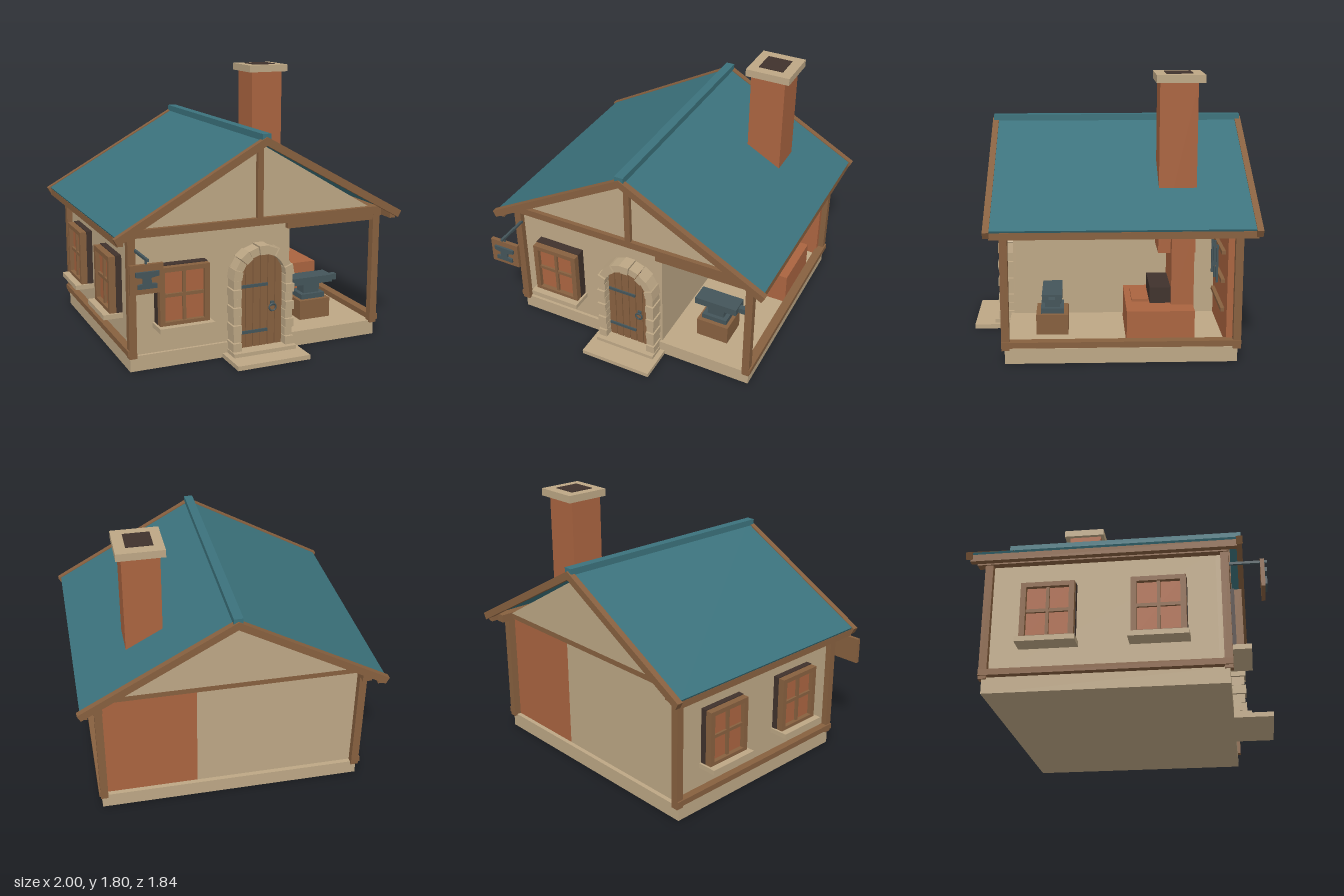
import * as THREE from 'three';

const material = (name, color) => {
  const m = new THREE.MeshStandardMaterial({ color });
  m.name = name;
  return m;
};

export function createModel() {
  const stone = material('plasterAndStone', 0xbda785);
  const wood = material('timber', 0x87603f);
  const brick = material('brick', 0xaa6440);
  const teal = material('roofTeal', 0x3b727c);
  const steel = material('steel', 0x44555a);
  const dark = material('soot', 0x40322c);
  const house = new THREE.Group();
  house.name = 'smithy';

  const add = (name, mat, geometry, parent = house) => {
    const mesh = new THREE.Mesh(geometry, mat);
    mesh.name = name;
    parent.add(mesh);
    return mesh;
  };
  // Box given by its extents on each axis
  const box = (name, mat, x0, x1, y0, y1, z0, z1, parent) => {
    const g = new THREE.BoxGeometry(x1 - x0, y1 - y0, z1 - z0);
    g.translate((x0 + x1) / 2, (y0 + y1) / 2, (z0 + z1) / 2);
    return add(name, mat, g, parent);
  };
  // Outline in x and y, extruded from z0 to z1
  const slab = (name, mat, points, z0, z1, parent) => {
    const shape = new THREE.Shape(points.map(([x, y]) => new THREE.Vector2(x, y)));
    const g = new THREE.ExtrudeGeometry(shape, { depth: z1 - z0, bevelEnabled: false });
    g.translate(0, 0, z0);
    return add(name, mat, g, parent);
  };

  // Foundation and steps
  box('foundation', stone, -0.88, 0.88, 0, 0.1, -0.8, 0.67);
  box('lowerStep', stone, -0.255, 0.255, 0, 0.03, 0.67, 0.92);
  box('upperStep', stone, -0.22, 0.22, 0.03, 0.055, 0.67, 0.785);

  // Walls
  box('frontWall', stone, -0.85, 0.23, 0.1, 0.87, 0.61, 0.65);
  box('leftWall', stone, -0.85, -0.81, 0.1, 0.87, -0.77, 0.61);
  box('partitionWall', stone, 0.19, 0.23, 0.1, 0.87, -0.73, 0.61);
  box('backWall', stone, -0.85, 0.23, 0.1, 0.87, -0.77, -0.73);
  box('forgeBackWall', brick, 0.23, 0.85, 0.1, 0.87, -0.77, -0.73);
  for (const [name, z] of [['frontGable', 0.62], ['backGable', -0.79]]) {
    slab(name, stone, [[-0.84, 0.895], [0.84, 0.895], [0, 1.39]], z, z + 0.04);
  }

  // Timber frame
  for (const s of [-1, 1]) {
    const [a, b] = s > 0 ? [0.84, 0.89] : [-0.89, -0.84];
    box('frontPost', wood, a, b, 0.09, 0.87, 0.64, 0.69);
    box('backPost', wood, a, b, 0.09, 0.87, -0.82, -0.77);
    const [c, d] = s > 0 ? [0.84, 0.9] : [-0.9, -0.84];
    box('sillBeam', wood, c, d, 0.11, 0.148, -0.82, 0.69);
    box('wallPlate', wood, c, d, 0.845, 0.9, -0.87, 0.69);
  }
  box('frontBeam', wood, -0.89, 0.89, 0.86, 0.91, 0.63, 0.69);
  box('openingBeam', wood, 0.2, 0.89, 0.82, 0.87, 0.63, 0.685);
  box('backBeam', wood, -0.89, 0.89, 0.855, 0.9, -0.785, -0.73);
  box('kingPost', wood, -0.02, 0.02, 0.91, 1.4, 0.65, 0.69);

  // Roof: two slabs, barge boards, eaves and ridge
  for (const s of [-1, 1]) {
    const mirror = pts => pts.map(([x, y]) => [s * x, y]);
    slab('roofSlab', teal, mirror([[0, 1.435], [0.98, 0.893], [0.968, 0.87], [0, 1.405]]), -0.88, 0.74);
    const board = mirror([[0, 1.443], [1, 0.888], [0.977, 0.845], [0, 1.388]]);
    slab('frontBargeBoard', wood, board, 0.74, 0.78);
    slab('backBargeBoard', wood, board, -0.92, -0.88);
    const [a, b] = s > 0 ? [0.935, 0.975] : [-0.975, -0.935];
    box('eavesBoard', wood, a, b, 0.835, 0.88, -0.895, 0.745);
  }
  box('ridgeCap', teal, -0.03, 0.03, 1.42, 1.462, -0.91, 0.772);

  // Chimney
  box('chimneyStack', brick, 0.405, 0.645, 0.65, 1.75, -0.55, -0.31);
  box('chimneyCap', stone, 0.375, 0.68, 1.745, 1.795, -0.59, -0.285);
  box('flueOpening', dark, 0.44, 0.61, 1.794, 1.8, -0.52, -0.35);

  // Forge hearth
  box('hearth', brick, 0.31, 0.84, 0.1, 0.325, -0.53, -0.1);
  box('fireback', brick, 0.335, 0.715, 0.3, 0.83, -0.535, -0.39);
  box('coalBed', dark, 0.365, 0.68, 0.325, 0.43, -0.39, -0.255);
  box('hearthLip', brick, 0.4, 0.65, 0.325, 0.343, -0.25, -0.14);

  // Tool racks on the back wall
  for (const y of [0.3, 0.49, 0.68]) box('toolRack', wood, 0.305, 0.75, y - 0.012, y + 0.012, -0.73, -0.705);
  for (const x of [0.42, 0.53, 0.64]) {
    box('toolHandle', steel, x - 0.008, x + 0.008, 0.45, 0.7, -0.7, -0.686);
  }

  // Anvil on its block
  box('anvilBlock', wood, 0.41, 0.64, 0.1, 0.235, 0.27, 0.48);
  const anvil = new THREE.Group();
  anvil.name = 'anvil';
  house.add(anvil);
  box('anvilFoot', steel, 0.435, 0.615, 0.235, 0.27, 0.3, 0.45, anvil);
  box('anvilWaist', steel, 0.465, 0.585, 0.27, 0.335, 0.325, 0.425, anvil);
  box('anvilTop', steel, 0.375, 0.68, 0.335, 0.385, 0.31, 0.44, anvil);
  box('anvilHorn', steel, 0.68, 0.74, 0.33, 0.373, 0.355, 0.395, anvil);

  // Arched door of planks
  const door = new THREE.Group();
  door.name = 'door';
  house.add(door);
  const R = 0.158, springY = 0.53;
  const archY = x => springY + Math.sqrt(Math.max(0, R * R - x * x));
  const plankOutline = (x0, x1) => {
    const pts = [[x0, 0.055], [x1, 0.055]];
    for (let i = 0; i <= 6; i++) {
      const x = x1 + (x0 - x1) * i / 6;
      pts.push([x, archY(x)]);
    }
    return pts;
  };
  slab('doorBacking', dark, plankOutline(-0.157, 0.157), 0.65, 0.675, door);
  const plankW = 0.314 / 6;
  for (let i = 0; i < 6; i++) {
    const x = -0.157 + i * plankW;
    slab('doorPlank', wood, plankOutline(x + 0.003, x + plankW - 0.003), 0.675, 0.695, door);
  }
  for (const y of [0.16, 0.47]) box('hingeStrap', steel, -0.15, 0.05, y - 0.01, y + 0.01, 0.695, 0.704, door);
  box('handlePlate', steel, 0.07, 0.095, 0.32, 0.35, 0.695, 0.71, door);
  const ring = add('handleRing', steel, new THREE.TorusGeometry(0.024, 0.006, 6, 14), door);
  ring.position.set(0.082, 0.312, 0.712);

  // Stone door surround: jamb blocks and arch stones
  const surround = new THREE.Group();
  surround.name = 'doorSurround';
  house.add(surround);
  const rows = 8, rowH = (springY - 0.055) / rows;
  for (let i = 0; i < rows; i++) {
    const y = 0.055 + i * rowH, out = i % 2 ? 0.208 : 0.216, z = i % 2 ? 0.745 : 0.755;
    box('rightJambStone', stone, -out, -0.156, y + 0.002, y + rowH - 0.002, 0.63, z, surround);
    box('leftJambStone', stone, 0.156, out, y + 0.002, y + rowH - 0.002, 0.63, z, surround);
  }
  const polar = (r, a) => [r * Math.cos(a), springY + r * Math.sin(a)];
  for (let i = 0; i < 9; i++) {
    const a = Math.PI * i / 9 + 0.01, b = Math.PI * (i + 1) / 9 - 0.01;
    const out = i % 2 ? 0.208 : 0.216;
    slab('archStone', stone, [polar(0.156, a), polar(out, a), polar(out, b), polar(0.156, b)],
      0.63, i % 2 ? 0.745 : 0.755, surround);
  }

  // Windows, built facing +z with the wall at z = 0
  const makeWindow = name => {
    const w = new THREE.Group();
    w.name = name;
    box('windowBox', dark, -0.168, 0.168, 0.3, 0.68, -0.02, 0.04, w);
    box('windowPanes', brick, -0.135, 0.135, 0.315, 0.66, 0.04, 0.055, w);
    for (const s of [-1, 1]) box('windowStile', wood, s * 0.149 - 0.017, s * 0.149 + 0.017, 0.3, 0.675, -0.01, 0.085, w);
    box('windowHead', wood, -0.132, 0.132, 0.645, 0.675, -0.01, 0.085, w);
    box('windowFoot', wood, -0.132, 0.132, 0.3, 0.325, -0.01, 0.085, w);
    box('windowMullion', wood, -0.01, 0.01, 0.325, 0.645, 0.05, 0.072, w);
    box('windowBar', wood, -0.132, 0.132, 0.48, 0.502, 0.05, 0.07, w);
    box('windowSill', stone, -0.182, 0.182, 0.27, 0.302, -0.02, 0.13, w);
    house.add(w);
    return w;
  };
  makeWindow('frontWindow').position.set(-0.543, 0, 0.672);
  for (const z of [-0.41, 0.265]) {
    const w = makeWindow('sideWindow');
    w.position.set(-0.85, 0.012, z);
    w.rotation.y = -Math.PI / 2;
  }

  // Hanging sign with an anvil shape
  const sign = new THREE.Group();
  sign.name = 'hangingSign';
  house.add(sign);
  box('signBracket', steel, -0.849, -0.833, 0.777, 0.793, 0.68, 0.92, sign);
  box('signHanger', steel, -0.846, -0.836, 0.75, 0.78, 0.882, 0.892, sign);
  box('signBoard', wood, -0.945, -0.735, 0.575, 0.755, 0.875, 0.9, sign);
  slab('signAnvil', steel, [[-0.9, 0.61], [-0.78, 0.61], [-0.78, 0.637], [-0.815, 0.642], [-0.815, 0.675],
    [-0.765, 0.685], [-0.765, 0.714], [-0.912, 0.714], [-0.912, 0.685], [-0.868, 0.675], [-0.868, 0.642],
    [-0.9, 0.637]], 0.9, 0.914, sign);

  return house;
}
